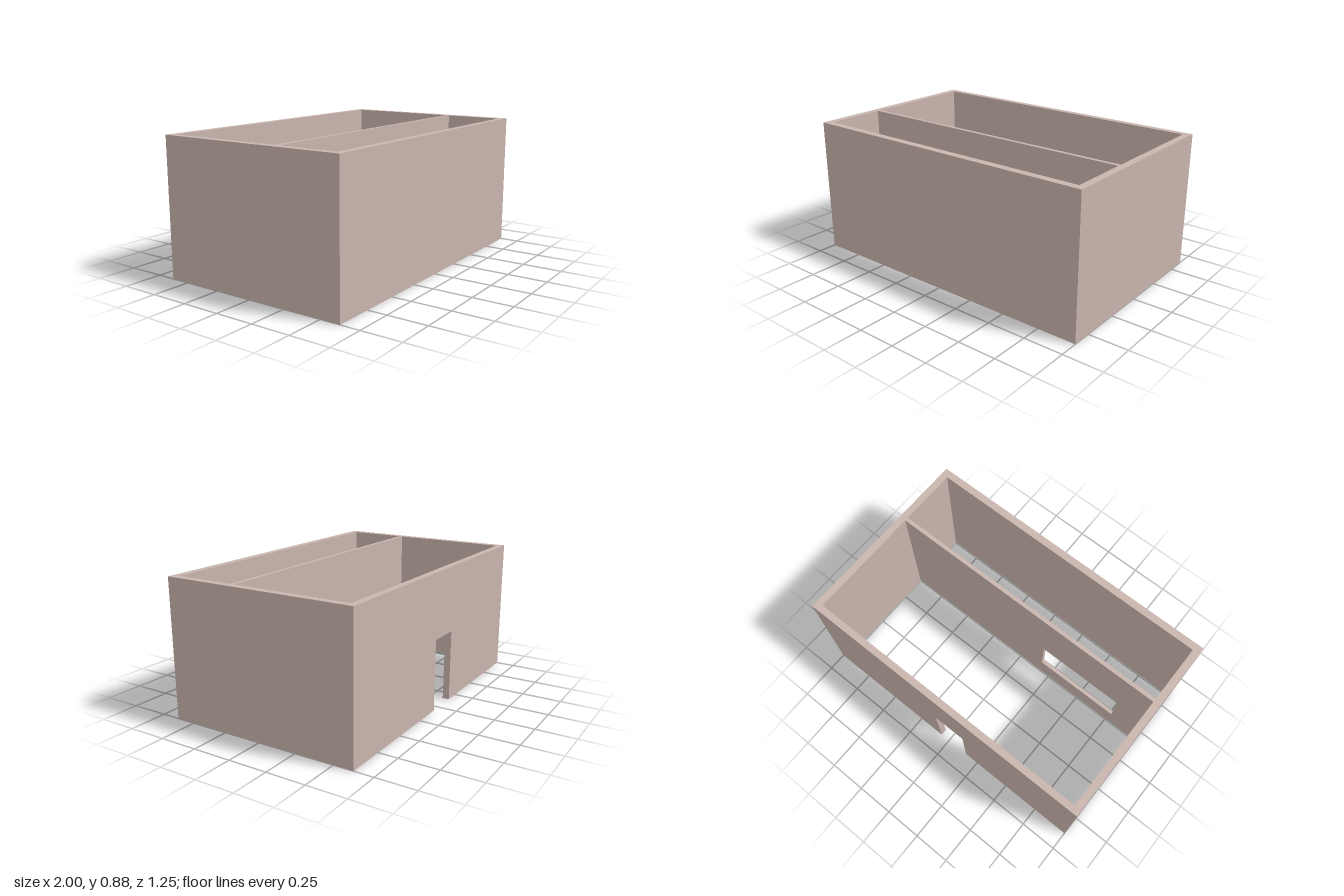
import * as THREE from 'three';

const H = 0.88;                       // wall height
const X = 1, Z = 0.627;               // outer half sizes
const XI = 0.955;                     // inner half width
const ZB = -0.585, ZF = 0.58;         // inner faces of back and front walls
const DB = 0.17, DF = 0.195;          // back and front faces of the partition
const DOOR = { x0: -0.153, x1: 0.066, h: 0.46 };
const WINDOW = { x0: -0.773, x1: -0.183, y0: 0.187, y1: 0.455 };

const wallMat = new THREE.MeshStandardMaterial({ color: 0xc9b5ae });
const trimMat = new THREE.MeshStandardMaterial({ color: 0xa3aaa7 });

const polygon = (Type, pts) => new Type(pts.map(([x, y]) => new THREE.Vector2(x, y)));

function addMesh(parent, name, geometry, material) {
  const mesh = new THREE.Mesh(geometry, material);
  mesh.name = name;
  parent.add(mesh);
  return mesh;
}

// Box given by its extents
function addBlock(parent, name, x0, x1, y0, y1, z0, z1, material = wallMat) {
  const g = new THREE.BoxGeometry(x1 - x0, y1 - y0, z1 - z0);
  g.translate((x0 + x1) / 2, (y0 + y1) / 2, (z0 + z1) / 2);
  return addMesh(parent, name, g, material);
}

// Wall drawn in elevation and extruded from z0 to z1
function addWall(parent, name, shape, z0, z1) {
  const g = new THREE.ExtrudeGeometry(shape, { depth: z1 - z0, bevelEnabled: false });
  g.translate(0, 0, z0);
  return addMesh(parent, name, g, wallMat);
}

export function createModel() {
  const model = new THREE.Group();
  model.name = 'twoRoomBuilding';

  // Front and side walls
  addBlock(model, 'frontWall', -X, X, 0, H, ZF, Z);
  addBlock(model, 'leftWall', XI, X, 0, H, ZB, ZF);
  addBlock(model, 'rightWall', -X, -XI, 0, H, ZB, ZF);

  // Back wall with a doorway open at the bottom
  const back = polygon(THREE.Shape, [
    [-X, 0], [DOOR.x0, 0], [DOOR.x0, DOOR.h], [DOOR.x1, DOOR.h],
    [DOOR.x1, 0], [X, 0], [X, H], [-X, H],
  ]);
  addWall(model, 'backWall', back, -Z, ZB);

  // Thin partition with a serving window
  const partition = polygon(THREE.Shape, [[-XI, 0], [XI, 0], [XI, H], [-XI, H]]);
  partition.holes.push(polygon(THREE.Path, [
    [WINDOW.x0, WINDOW.y0], [WINDOW.x0, WINDOW.y1],
    [WINDOW.x1, WINDOW.y1], [WINDOW.x1, WINDOW.y0],
  ]));
  addWall(model, 'partition', partition, DB, DF);

  // Slim skirting round both rooms, broken at the doorway
  const skirting = new THREE.Group();
  skirting.name = 'skirting';
  model.add(skirting);
  const t = 0.004, h = 0.015;
  const strip = (x0, x1, z0, z1) => addBlock(skirting, 'skirtingStrip', x0, x1, 0, h, z0, z1, trimMat);
  strip(-XI, DOOR.x0, ZB, ZB + t);
  strip(DOOR.x1, XI, ZB, ZB + t);
  strip(-XI, XI, DB - t, DB);
  strip(-XI, XI, DF, DF + t);
  strip(-XI, XI, ZF - t, ZF);
  for (const [z0, z1] of [[ZB + t, DB - t], [DF + t, ZF - t]]) {
    strip(-XI, -XI + t, z0, z1);
    strip(XI - t, XI, z0, z1);
  }

  return model;
}
